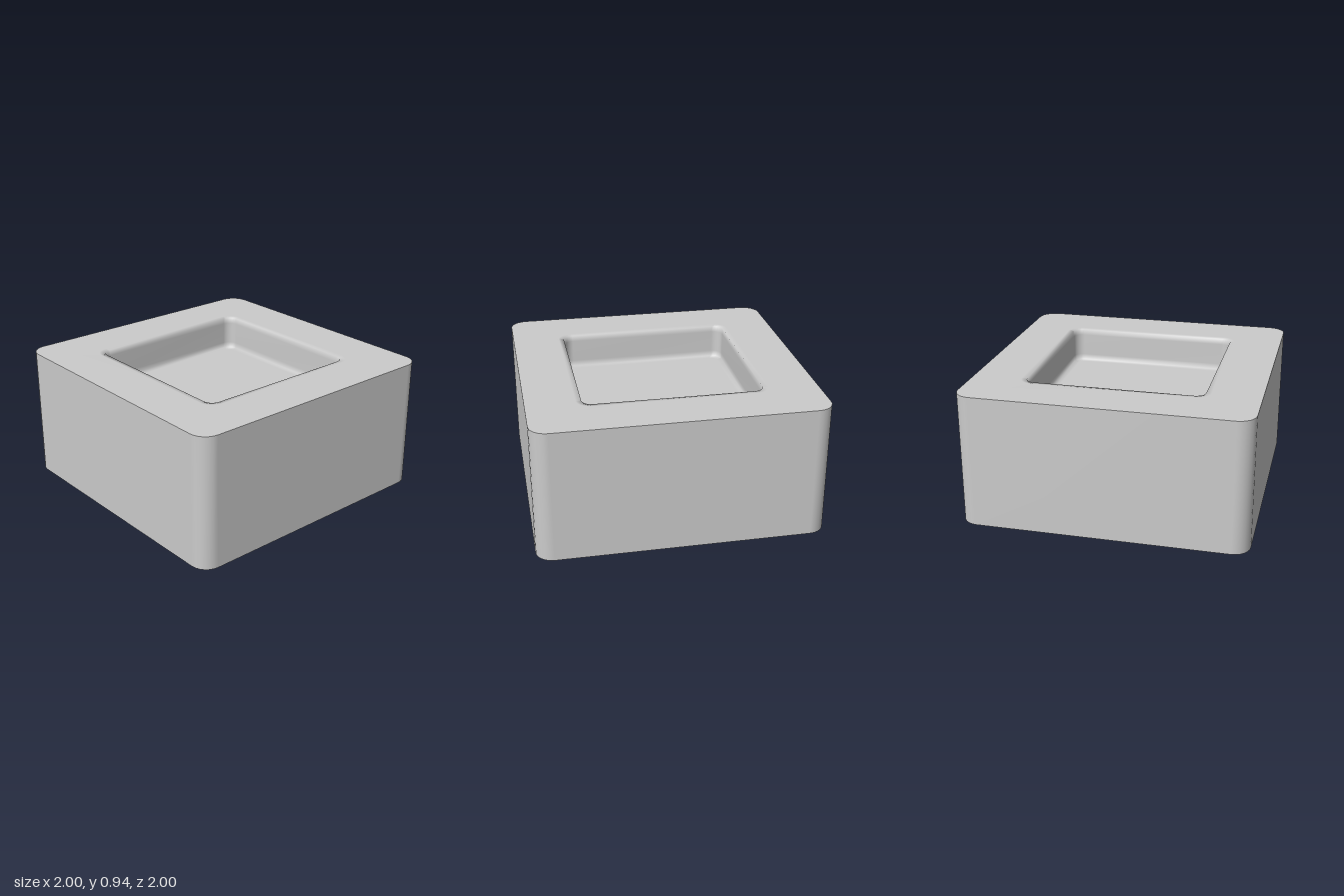
import * as THREE from 'three';

const HEIGHT = 0.94;
const FLOOR = 0.69;
const CORNER_STEPS = 6;

// Rounded square outline at height y
function roundedSquare({ half, radius, y }) {
  const points = [];
  for (let corner = 0; corner < 4; corner++) {
    const mid = (corner + 0.5) * Math.PI / 2;
    const cx = Math.sign(Math.cos(mid)) * (half - radius);
    const cz = Math.sign(Math.sin(mid)) * (half - radius);
    for (let i = 0; i <= CORNER_STEPS; i++) {
      const a = (corner + i / CORNER_STEPS) * Math.PI / 2;
      points.push([cx + radius * Math.cos(a), y, cz + radius * Math.sin(a)]);
    }
  }
  return points;
}

// Smooth skin through a list of outlines
function loft(name, sections, material) {
  const loops = sections.map(([half, radius, y]) => roundedSquare({ half, radius, y }));
  const n = loops[0].length;
  const index = [];
  for (let k = 0; k < loops.length - 1; k++) {
    for (let j = 0; j < n; j++) {
      const a = k * n + j, b = k * n + (j + 1) % n;
      const c = a + n, d = b + n;
      index.push(a, c, b, b, c, d);
    }
  }
  const geometry = new THREE.BufferGeometry();
  geometry.setAttribute('position', new THREE.Float32BufferAttribute(loops.flat(2), 3));
  geometry.setIndex(index);
  geometry.computeVertexNormals();
  const mesh = new THREE.Mesh(geometry, material);
  mesh.name = name;
  return mesh;
}

export function createModel() {
  const group = new THREE.Group();
  group.name = 'recessedBlock';
  const grey = new THREE.MeshStandardMaterial({ color: 0xcccccc });

  // Sections are [half width, corner radius, height]
  group.add(loft('base', [[0, 0, 0], [1, 0.12, 0]], grey));
  group.add(loft('outerWall', [[1, 0.12, 0], [1, 0.12, HEIGHT]], grey));

  // Top face runs over the soft lip, down the recess wall and across its floor
  group.add(loft('topAndRecess', [
    [1, 0.12, HEIGHT],
    [0.66, 0.1, HEIGHT],
    [0.622, 0.07, HEIGHT - 0.003],
    [0.618, 0.07, HEIGHT - 0.045],
    [0.618, 0.07, FLOOR + 0.045],
    [0.614, 0.07, FLOOR + 0.003],
    [0.575, 0.05, FLOOR],
    [0, 0, FLOOR],
  ], grey));
  return group;
}
